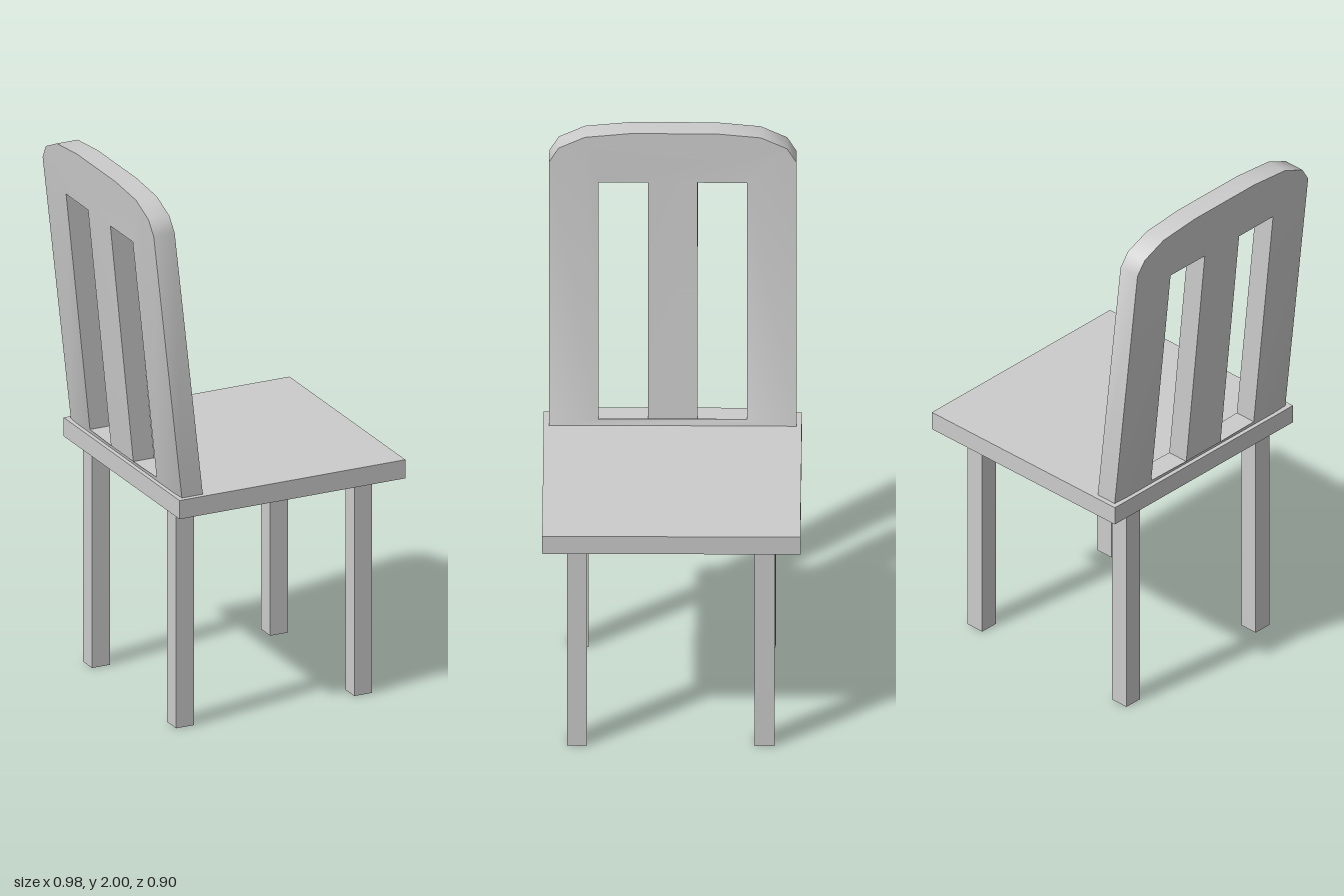
import * as THREE from 'three';
import { toCreasedNormals } from 'three/addons/utils/BufferGeometryUtils.js';

const SEAT_TOP = 0.89, SEAT_BOTTOM = 0.82, HEIGHT = 2;

export function createModel() {
  const chair = new THREE.Group();
  chair.name = 'chair';
  const material = new THREE.MeshStandardMaterial({ color: 0xcccccc });

  const add = (name, geometry, x = 0, y = 0, z = 0) => {
    const mesh = new THREE.Mesh(geometry, material);
    mesh.name = name;
    mesh.position.set(x, y, z);
    chair.add(mesh);
  };

  // Seat board
  add('seat', new THREE.BoxGeometry(0.885, SEAT_TOP - SEAT_BOTTOM, 0.904),
    0.048, (SEAT_TOP + SEAT_BOTTOM) / 2, 0);

  // Four square legs, the backrest side at -x
  const leg = new THREE.BoxGeometry(0.07, SEAT_BOTTOM, 0.07);
  for (const [end, x] of [['back', -0.329], ['front', 0.369]]) {
    for (const [side, z] of [['Left', -0.326], ['Right', 0.33]]) {
      add(end + 'Leg' + side, leg, x, SEAT_BOTTOM / 2, z);
    }
  }

  add('backrest', backrestGeometry());
  return chair;
}

// Round-topped panel with two slots, leaning back and gently bowed
function backrestGeometry() {
  const half = [[0.433, 0.88], [0.433, 1.89], [0.4, 1.943], [0.308, 1.985], [0.15, HEIGHT]];
  const mirrored = half.map(([u, v]) => [-u, v]).reverse();
  const points = [...half, ...mirrored].map(([u, v]) => new THREE.Vector2(u, v));
  const shape = new THREE.Shape(points);

  for (const side of [-1, 1]) {
    const inner = side * 0.087, outer = side * 0.26;
    shape.holes.push(new THREE.Path([
      new THREE.Vector2(inner, 0.91), new THREE.Vector2(outer, 0.91),
      new THREE.Vector2(outer, 1.81), new THREE.Vector2(inner, 1.81),
    ]));
  }

  const geometry = new THREE.ExtrudeGeometry(shape, { depth: 0.082, bevelEnabled: false });
  geometry.rotateY(Math.PI / 2);
  const p = geometry.attributes.position;
  for (let i = 0; i < p.count; i++) {
    const t = (p.getY(i) - SEAT_TOP) / (HEIGHT - SEAT_TOP);
    const lean = 0.16 * t - 0.042 * t * t;
    const bow = 0.014 * (1 - t) * (1 - (p.getZ(i) / 0.433) ** 2);
    p.setX(i, p.getX(i) - 0.376 - lean - bow);
  }
  return toCreasedNormals(geometry, 0.6);
}
